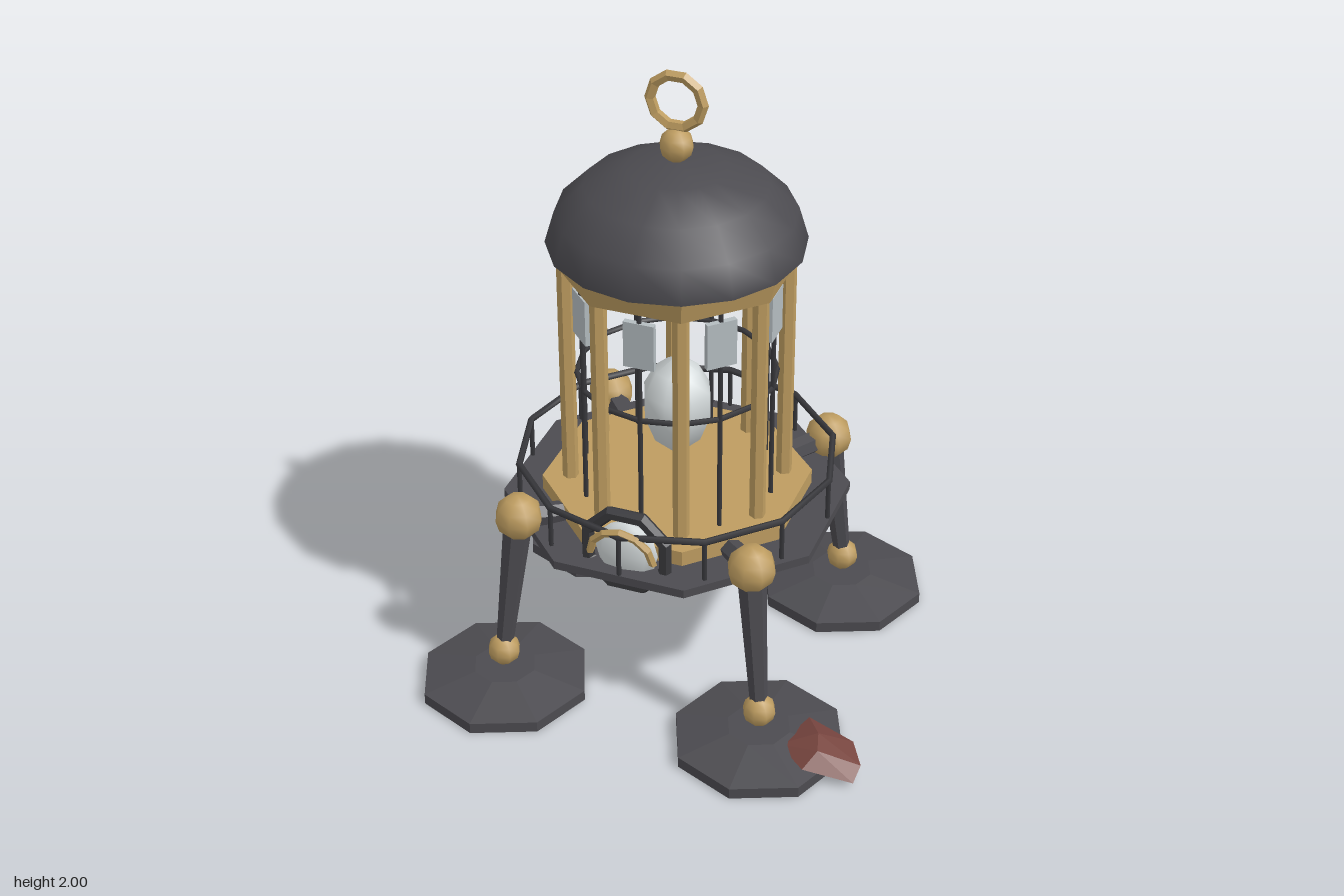
import * as THREE from 'three';
import { ConvexGeometry } from 'three/addons/geometries/ConvexGeometry.js';

const mat = (name, color, side = THREE.FrontSide) => {
  const m = new THREE.MeshStandardMaterial({ color, side });
  m.name = name;
  return m;
};
const V = (x, y, z) => new THREE.Vector3(x, y, z);

// Faceted normals
function flat(geo) {
  const g = geo.index ? geo.toNonIndexed() : geo;
  g.computeVertexNormals();
  return g;
}

export function createModel() {
  const iron = mat('iron', 0x4c4b50);
  const rail = mat('darkRail', 0x38383c);
  const brass = mat('brass', 0xbd9c60);
  const crystalMat = mat('paleCrystal', 0xd3d9da);
  const paneMat = mat('paneGlass', 0xb4bcc0);
  const rust = mat('rust', 0x77453f);

  const root = new THREE.Group();
  root.name = 'walkingLantern';
  const body = new THREE.Group();
  body.name = 'lantern';
  body.position.x = -0.035;
  root.add(body);

  const add = (name, geo, material, x = 0, y = 0, z = 0, parent = body) => {
    const m = new THREE.Mesh(geo, material);
    m.name = name;
    m.position.set(x, y, z);
    parent.add(m);
    return m;
  };
  // Octagonal prism with flat sides facing the axes
  const octagon = (name, rTop, rBottom, y0, y1, material) => {
    const g = new THREE.CylinderGeometry(rTop, rBottom, y1 - y0, 8);
    g.rotateY(Math.PI / 8);
    return add(name, flat(g), material, 0, (y0 + y1) / 2, 0);
  };
  // Tapered beam between two points
  const beam = (name, a, b, ra, rb, sides, material) => {
    const d = b.clone().sub(a);
    const g = new THREE.CylinderGeometry(rb, ra, d.length(), sides);
    const m = add(name, flat(g), material);
    m.position.copy(a).add(b).multiplyScalar(0.5);
    m.quaternion.setFromUnitVectors(V(0, 1, 0), d.normalize());
    return m;
  };
  const ball = (name, r, x, y, z) =>
    add(name, new THREE.SphereGeometry(r, 8, 6), brass, x, y, z);
  const ringAt = (name, r, tube, segments, y, material) =>
    add(name, new THREE.TorusGeometry(r, tube, 5, segments).rotateX(Math.PI / 2), material, 0, y, 0);

  // Hull, deck and floor
  octagon('hull', 0.42, 0.36, 0.49, 0.555, brass);
  octagon('deck', 0.541, 0.541, 0.552, 0.58, iron);
  octagon('floor', 0.42, 0.42, 0.58, 0.63, brass);
  for (let i = 0; i < 6; i++) {
    const a = Math.PI / 6 + (i * Math.PI) / 3;
    add('hullBolt', flat(new THREE.CylinderGeometry(0.035, 0.018, 0.035, 6)), brass,
      0.2 * Math.cos(a), 0.477, 0.2 * Math.sin(a));
  }

  // Deck railing
  ringAt('topRail', 0.492, 0.011, 12, 0.715, rail);
  for (let i = 0; i < 12; i++) {
    const a = (i * Math.PI) / 6;
    add('railPost', new THREE.CylinderGeometry(0.008, 0.008, 0.145, 5), rail,
      0.492 * Math.cos(a), 0.643, 0.492 * Math.sin(a));
  }

  // Cage: columns on the corners, bars and small panes on the sides
  for (let i = 0; i < 8; i++) {
    const c = Math.PI / 8 + (i * Math.PI) / 4;
    add('column', flat(new THREE.CylinderGeometry(0.025, 0.025, 0.78, 6)), brass,
      0.332 * Math.cos(c), 1.01, 0.332 * Math.sin(c));
    const a = (i * Math.PI) / 4;
    add('bar', new THREE.CylinderGeometry(0.008, 0.008, 0.78, 5), rail,
      0.307 * Math.sin(a), 1.01, 0.307 * Math.cos(a));
    const pane = add('pane', new THREE.BoxGeometry(0.095, 0.15, 0.018), paneMat,
      0.307 * Math.sin(a), 1.272, 0.307 * Math.cos(a));
    pane.rotation.y = a;
  }
  ringAt('middleHoop', 0.305, 0.009, 16, 1.01, rail);

  // Glowing crystal
  const crystalProfile = [[0, 0.7], [0.075, 0.77], [0.108, 0.86], [0.108, 0.94], [0.07, 1.012], [0, 1.06]]
    .map(([r, y]) => new THREE.Vector2(r, y));
  add('crystal', new THREE.LatheGeometry(crystalProfile, 8), crystalMat);

  // Roof
  octagon('cornice', 0.385, 0.365, 1.39, 1.462, brass);
  const dome = add('dome', new THREE.SphereGeometry(0.388, 16, 4, 0, Math.PI * 2, 0, Math.PI / 2), iron, 0, 1.46, 0);
  dome.scale.y = 0.26 / 0.388;
  add('domeUnderside', new THREE.CircleGeometry(0.388, 16).rotateX(Math.PI / 2), iron, 0, 1.46, 0);
  ball('finial', 0.052, 0, 1.77, 0);
  add('hangingRing', flat(new THREE.TorusGeometry(0.081, 0.017, 5, 10)), brass, 0, 1.908, 0);

  // Porthole on the front edge of the deck
  const porthole = new THREE.Group();
  porthole.name = 'porthole';
  porthole.position.set(0, 0.627, 0.43);
  body.add(porthole);
  add('portholeFrame', flat(new THREE.TorusGeometry(0.133, 0.022, 6, 8).rotateZ(Math.PI / 8)), rail, 0, 0, 0, porthole);
  const lens = add('portholeGlass', new THREE.SphereGeometry(0.1, 8, 6), crystalMat, 0, 0, 0, porthole);
  lens.scale.z = 0.4;
  const visor = add('portholeVisor', flat(new THREE.TorusGeometry(0.1, 0.013, 5, 6, Math.PI)), brass, 0, 0, 0.04, porthole);
  visor.rotation.x = 0.15;

  // Four legs with joints and broad feet
  const footProfile = [[0, 0], [0.27, 0], [0.27, 0.036], [0.1, 0.07], [0, 0.07]]
    .map(([r, y]) => new THREE.Vector2(r, y));
  for (const sx of [-1, 1]) {
    for (const sz of [-1, 1]) {
      const hip = V(sx * 0.375, 0.62, sz * 0.375);
      const ankle = V(sx * 0.423, 0.13, sz * 0.423);
      beam('strut', V(sx * 0.24, 0.585, sz * 0.24), hip, 0.036, 0.036, 6, iron);
      beam('leg', ankle, hip, 0.026, 0.046, 6, iron);
      ball('hipJoint', 0.075, hip.x, hip.y, hip.z);
      ball('ankleJoint', 0.052, ankle.x, ankle.y, ankle.z);
      add('foot', flat(new THREE.LatheGeometry(footProfile, 8)), iron, ankle.x, 0, ankle.z);
    }
  }

  // Rusty shard lying on the left front foot
  const shard = [
    V(0.52, 0.065, 0.33), V(0.675, 0.05, 0.375), V(0.725, 0.04, 0.46), V(0.72, 0.018, 0.52),
    V(0.57, 0.055, 0.555), V(0.468, 0.055, 0.47), V(0.58, 0.1, 0.43), V(0.6, 0.092, 0.5),
    V(0.56, 0.04, 0.45), V(0.7, 0.02, 0.45),
  ];
  add('rustyShard', flat(new ConvexGeometry(shard)), rust, 0, 0, 0, root);

  return root;
}
